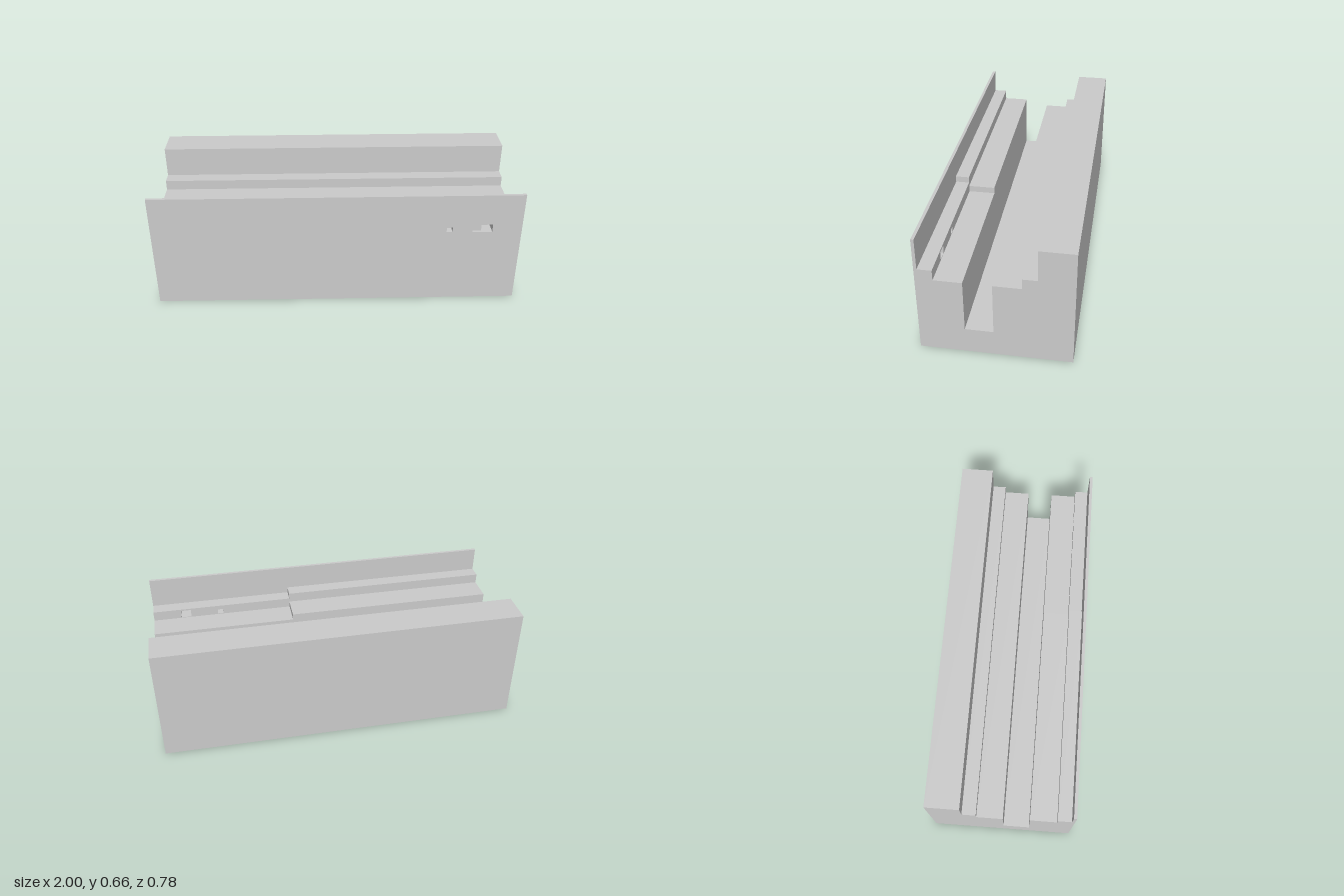
import * as THREE from 'three';

const SPLIT = 0.19; // x where the raised front ledges end

// Rectangular opening [x0, x1, y0, y1]
function opening([x0, x1, y0, y1]) {
  const p = new THREE.Path();
  p.moveTo(x0, y0);
  p.lineTo(x0, y1);
  p.lineTo(x1, y1);
  p.lineTo(x1, y0);
  p.closePath();
  return p;
}

// Full-length slab between two depths; its top may drop from one height to another at SPLIT
function slab(name, z0, z1, high, low, holes, material) {
  const s = new THREE.Shape();
  s.moveTo(-1, 0);
  s.lineTo(1, 0);
  s.lineTo(1, low);
  if (high !== low) {
    s.lineTo(SPLIT, low);
    s.lineTo(SPLIT, high);
  }
  s.lineTo(-1, high);
  s.closePath();
  s.holes = holes.map(opening);
  const geometry = new THREE.ExtrudeGeometry(s, { depth: z1 - z0, bevelEnabled: false });
  geometry.translate(0, 0, z0);
  const mesh = new THREE.Mesh(geometry, material);
  mesh.name = name;
  return mesh;
}

export function createModel() {
  const group = new THREE.Group();
  group.name = 'channelBlock';
  const material = new THREE.MeshStandardMaterial({ color: 0xcccccc, flatShading: true });

  // Small square port, and a slot that narrows behind the front wall
  const port = [0.592, 0.624, 0.437, 0.465];
  const wideSlot = [0.733, 0.84, 0.436, 0.481];
  const narrowSlot = [0.782, 0.84, 0.436, 0.481];

  // Slabs from back to front: name, z0, z1, height at -x, height at +x, holes
  const slabs = [
    ['backBlock', -0.388, -0.207, 0.661, 0.661, []],
    ['backUpperStep', -0.207, -0.132, 0.49, 0.49, []],
    ['backLowerStep', -0.132, 0.01, 0.433, 0.433, []],
    ['channelFloor', 0.01, 0.154, 0.144, 0.144, []],
    ['frontLowerLedge', 0.154, 0.298, 0.468, 0.433, []],
    ['frontUpperLedge', 0.298, 0.372, 0.524, 0.49, [port, narrowSlot]],
    ['frontWall', 0.372, 0.388, 0.661, 0.661, [port, wideSlot]],
  ];
  for (const args of slabs) group.add(slab(...args, material));
  return group;
}
